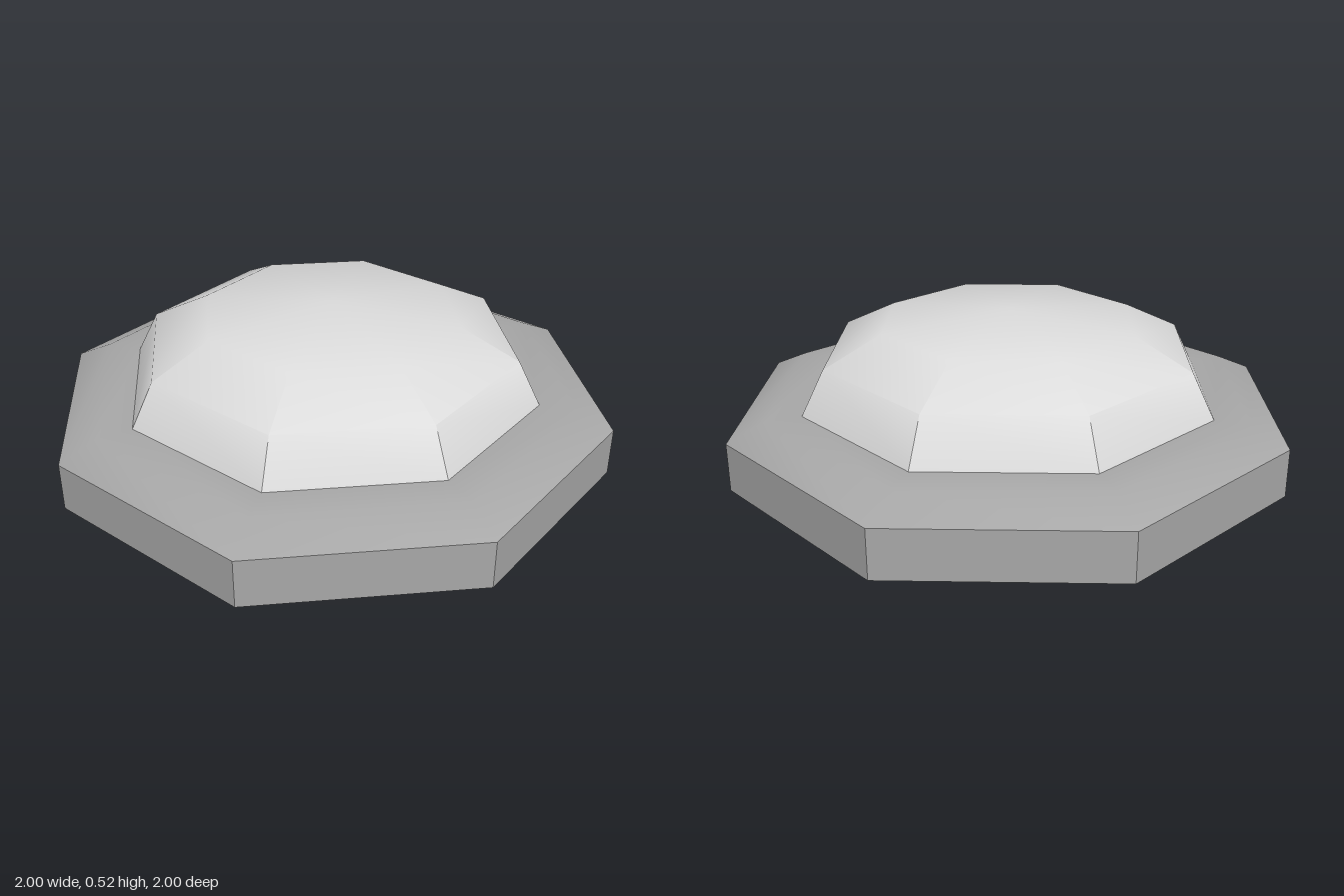
import * as THREE from 'three';
import { toCreasedNormals } from 'three/addons/utils/BufferGeometryUtils.js';

const SIDES = 8;
const CREASE = THREE.MathUtils.degToRad(38);

// Eight-sided turned part from [radius, height] points, bottom to top
function turned(name, profile, material) {
  const points = profile.map(([r, y]) => new THREE.Vector2(r, y));
  const geometry = toCreasedNormals(new THREE.LatheGeometry(points, SIDES), CREASE);
  const mesh = new THREE.Mesh(geometry, material);
  mesh.name = name;
  return mesh;
}

export function createModel() {
  const darkGrey = new THREE.MeshStandardMaterial({ color: 0xa8a8a8 });
  darkGrey.name = 'base grey';
  const lightGrey = new THREE.MeshStandardMaterial({ color: 0xdcdcdc });
  lightGrey.name = 'dome light grey';

  const model = new THREE.Group();
  model.name = 'domedButton';

  // Closed underside, upright rim, bevel and flat ledge up to the dome
  model.add(turned('base', [[0, 0], [1, 0], [1, 0.17], [0.87, 0.23], [0.74, 0.23]], darkGrey));

  // Low dome rising to a shallow point
  model.add(turned('dome', [[0.745, 0.23], [0.665, 0.385], [0.46, 0.487], [0, 0.525]], lightGrey));

  return model;
}
